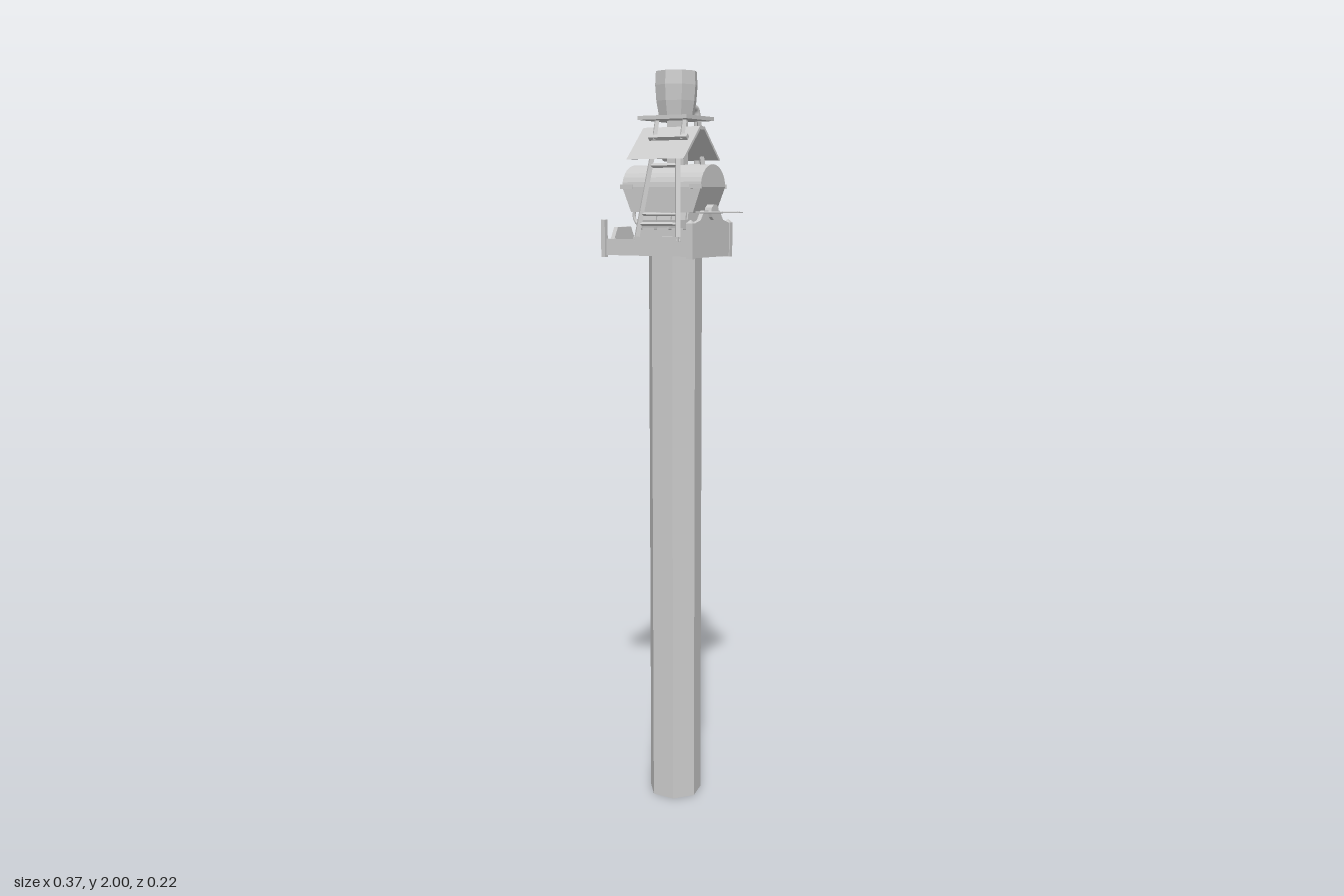
import * as THREE from 'three';

export function createModel() {
  const root = new THREE.Group();
  const mat = new THREE.MeshStandardMaterial({ color: 0xcccccc, flatShading: true, side: THREE.DoubleSide });
  const smooth = new THREE.MeshStandardMaterial({ color: 0xcccccc, side: THREE.DoubleSide });
  const add = (name, geo, x = 0, y = 0, z = 0, m = mat) => {
    const mesh = new THREE.Mesh(geo, m);
    mesh.name = name;
    mesh.position.set(x, y, z);
    root.add(mesh);
    return mesh;
  };
  // Box given by its limits on each axis
  const box = (name, x0, x1, y0, y1, z0, z1) =>
    add(name, new THREE.BoxGeometry(x1 - x0, y1 - y0, z1 - z0), (x0 + x1) / 2, (y0 + y1) / 2, (z0 + z1) / 2);
  // Square or round bar between two points
  const bar = (name, a, b, r, sides = 4) => {
    const p = new THREE.Vector3(...a), q = new THREE.Vector3(...b), d = q.clone().sub(p);
    const mesh = add(name, new THREE.CylinderGeometry(r, r, d.length(), sides));
    mesh.position.copy(p).add(q).multiplyScalar(0.5);
    mesh.quaternion.setFromUnitVectors(new THREE.Vector3(0, 1, 0), d.normalize());
    return mesh;
  };
  // Outline in (z, y) extruded along x from x0 to x1
  const alongX = (points, x0, x1) => {
    const shape = new THREE.Shape(points.map(([z, y]) => new THREE.Vector2(-z, y)));
    return new THREE.ExtrudeGeometry(shape, { depth: x1 - x0, bevelEnabled: false })
      .rotateY(Math.PI / 2).translate(x0, 0, 0);
  };

  // Seven-sided column
  add('column', new THREE.CylinderGeometry(0.0735, 0.0735, 1.555, 7, 1, false, Math.PI), -0.018, 0.7775, -0.008);

  // Platform: thin deck with side beams
  box('deck', -0.175, 0.09, 1.553, 1.566, -0.088, 0.088);
  for (const s of [-1, 1]) {
    box('sideBeam', -0.175, 0.09, 1.527, 1.57, s * 0.084 - 0.005, s * 0.084 + 0.005);
    box('leftEndPost', -0.185, -0.173, 1.522, 1.62, s * 0.09 - 0.007, s * 0.09 + 0.007);
    box('rightEndPost', 0.083, 0.103, 1.522, 1.612, s * 0.1 - 0.007, s * 0.1 + 0.007);
    const cap = add('postCap', new THREE.ConeGeometry(0.0135, 0.01, 4, 1, false, Math.PI / 4), 0.093, 1.617, s * 0.1);
    cap.scale.x = 1.03;
    box('stepBeam', -0.077, 0.06, 1.565, 1.578, s * 0.1 - 0.007, s * 0.1 + 0.007);
  }

  // End plates: a low hump on the left, a full plate on the right
  add('leftEndPlate', alongX([[-0.085, 1.527], [0.085, 1.527], [0.085, 1.57], [0.05, 1.57],
    [0.033, 1.6], [-0.033, 1.6], [-0.05, 1.57], [-0.085, 1.57]], -0.185, -0.173));
  add('rightEndPlate', alongX([[-0.1, 1.524], [0.1, 1.524], [0.1, 1.61], [0.06, 1.62],
    [0.04, 1.645], [-0.04, 1.645], [-0.06, 1.62], [-0.1, 1.61]], 0.088, 0.1));

  // Machinery on the deck
  box('machineBase', -0.095, 0.065, 1.566, 1.6, -0.055, 0.055);
  const drum = add('drum', new THREE.CylinderGeometry(0.055, 0.055, 0.15, 16), -0.017, 1.62, 0);
  drum.rotation.z = Math.PI / 2;
  for (const x of [-0.085, -0.04, 0.005, 0.05]) {
    const rib = add('drumRib', new THREE.CylinderGeometry(0.061, 0.061, 0.009, 16), x, 1.62, 0);
    rib.rotation.z = Math.PI / 2;
  }

  // Vaulted hood whose ends slope inwards below the shoulder
  const vault = [[-0.062, 1.64], [0.062, 1.64]];
  for (let i = 0; i <= 14; i++) {
    const t = i / 14 * Math.PI;
    vault.push([0.065 * Math.cos(t), 1.705 + 0.058 * Math.sin(t)]);
  }
  const hood = alongX(vault, -0.137, 0.103), hp = hood.attributes.position;
  for (let i = 0; i < hp.count; i++) {
    if (hp.getY(i) < 1.69) hp.setX(i, -0.017 + (hp.getX(i) + 0.017) * 0.79);
  }
  hood.computeVertexNormals();
  add('hood', hood);
  for (const s of [-1, 1]) {
    for (const [x0, x1] of [[-0.143, -0.105], [0.07, 0.106]]) {
      box('hoodClamp', x0, x1, 1.7, 1.712, s * 0.066 - 0.002, s * 0.066 + 0.002);
    }
    // Leaning frame on the long side
    const foot = s * 0.1, top = s * 0.062;
    bar('frameLeg', [-0.072, 1.566, foot], [-0.045, 1.785, top], 0.008);
    bar('frameLeg', [0.055, 1.566, foot], [0.032, 1.785, top], 0.008);
    bar('frameRail', [-0.048, 1.76, s * 0.066], [0.035, 1.76, s * 0.066], 0.006);
    bar('frameRail', [-0.066, 1.61, s * 0.092], [0.05, 1.61, s * 0.092], 0.005);
    bar('frameRail', [-0.063, 1.635, s * 0.088], [0.047, 1.635, s * 0.088], 0.004);
    // Bracket between roof slope and upper plate
    bar('bracketRail', [-0.06, 1.832, s * 0.052], [0.056, 1.832, s * 0.052], 0.008);
    for (const x of [-0.045, 0.038]) {
      bar('bracketLeg', [x, 1.825, s * 0.052], [x, 1.882, s * 0.036], 0.007);
    }
  }

  // Left-hand pipe loop and right-hand rods with a forked one in the middle
  add('pipeLoop', new THREE.TorusGeometry(0.03, 0.005, 6, 18), -0.112, 1.632, 0, smooth);
  const hub = add('rodHub', new THREE.CylinderGeometry(0.021, 0.021, 0.02, 10), 0.099, 1.64, 0);
  hub.rotation.z = Math.PI / 2;
  for (const s of [-1, 1]) {
    bar('sideRod', [0.06, 1.64, s * 0.047], [0.157, 1.64, s * 0.047], 0.0025, 6);
    bar('forkTip', [0.175, 1.64, 0], [0.184, 1.64, s * 0.013], 0.0015, 5);
  }
  bar('forkRod', [0.09, 1.64, 0], [0.176, 1.64, 0], 0.002, 6);

  // Open gable roof with a flat ridge
  add('gableRoof', alongX([[-0.097, 1.776], [-0.012, 1.86], [0.012, 1.86], [0.097, 1.776],
    [0.088, 1.776], [0.01, 1.852], [-0.01, 1.852], [-0.088, 1.776]], -0.103, 0.07));
  box('roofPost', -0.03, 0.02, 1.75, 1.882, -0.012, 0.012);

  // Upper plate and eight-sided barrel with a recessed top
  box('upperPlate', -0.077, 0.07, 1.876, 1.886, -0.062, 0.083);
  const profile = [[0, 1.886], [0.047, 1.886], [0.054, 1.925], [0.057, 1.965], [0.055, 2], [0.05, 2], [0.05, 1.985], [0, 1.985]]
    .map(([r, y]) => new THREE.Vector2(r, y));
  add('barrel', new THREE.LatheGeometry(profile, 8), -0.003, 0, 0.009);

  // Pipe from the barrel, over the back and down to the deck
  const path = new THREE.CurvePath();
  const v = (y, z) => new THREE.Vector3(-0.003, y, z);
  path.add(new THREE.LineCurve3(v(1.915, -0.035), v(1.915, -0.08)));
  path.add(new THREE.QuadraticBezierCurve3(v(1.915, -0.08), v(1.915, -0.1), v(1.893, -0.1)));
  path.add(new THREE.LineCurve3(v(1.893, -0.1), v(1.565, -0.1)));
  add('backPipe', new THREE.TubeGeometry(path, 50, 0.009, 8), 0, 0, 0, smooth);
  return root;
}
